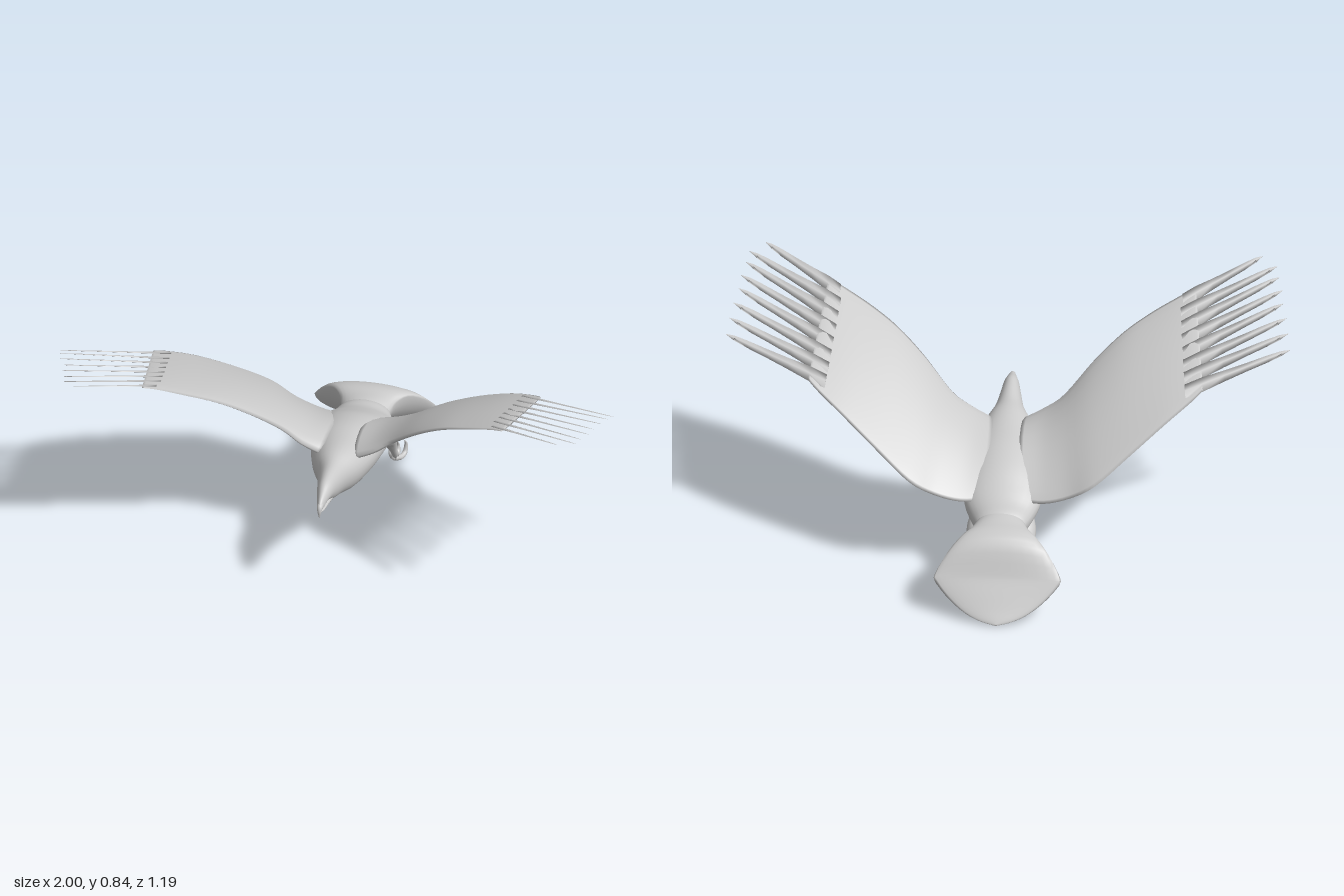
import * as THREE from 'three';

const V = (x, y, z) => new THREE.Vector3(x, y, z);
const material = new THREE.MeshStandardMaterial({ color: 0xcccccc, side: THREE.DoubleSide });

// Skin through a list of equal-sized closed rings, capped at both ends
function loft(rings) {
  const n = rings[0].length, m = rings.length, pos = [], idx = [];
  rings.forEach(r => r.forEach(p => pos.push(p.x, p.y, p.z)));
  for (const r of [rings[0], rings[m - 1]]) {
    const c = r.reduce((s, p) => s.add(p), V(0, 0, 0)).divideScalar(n);
    pos.push(c.x, c.y, c.z);
  }
  for (let i = 0; i < m - 1; i++) for (let j = 0; j < n; j++) {
    const k = (j + 1) % n, a = i * n + j, b = i * n + k, c = a + n, d = b + n;
    idx.push(a, b, c, b, d, c);
  }
  for (let j = 0; j < n; j++) {
    const k = (j + 1) % n, e = (m - 1) * n;
    idx.push(m * n, k, j, m * n + 1, e + j, e + k);
  }
  // turn the faces outward by the sign of the enclosed volume
  const at = i => V(pos[3 * i], pos[3 * i + 1], pos[3 * i + 2]);
  let volume = 0;
  for (let i = 0; i < idx.length; i += 3) volume += at(idx[i]).dot(at(idx[i + 1]).cross(at(idx[i + 2])));
  if (volume < 0) idx.reverse();
  const g = new THREE.BufferGeometry();
  g.setAttribute('position', new THREE.Float32BufferAttribute(pos, 3));
  g.setIndex(idx);
  g.computeVertexNormals();
  return g;
}

// Insert smooth in-between rows in a table of section values
function refine(rows, steps) {
  const out = [], last = rows.length - 1;
  for (let i = 0; i < last; i++) for (let s = 0; s < steps; s++) {
    const t = s / steps;
    out.push(rows[i].map((b, c) => {
      const a = rows[Math.max(i - 1, 0)][c], d = rows[i + 1][c], e = rows[Math.min(i + 2, last)][c];
      return b + 0.5 * t * (d - a + t * (2 * a - 5 * b + 4 * d - e + t * (3 * (b - d) + e - a)));
    }));
  }
  return [...out, rows[last]];
}

// Rows: z, top y, bottom y, half width, y of the widest line
function hull(rows, steps, sides) {
  return loft(refine(rows, steps).map(([z, top, bottom, w, mid]) =>
    Array.from({ length: sides }, (_, j) => {
      const a = j / sides * Math.PI * 2, s = Math.sin(a);
      return V(w * Math.cos(a), mid + s * (s > 0 ? top - mid : mid - bottom), z);
    })));
}

// Round limb with changing radius along a curve
function limb(points, radii, segments = 14, sides = 10) {
  const curve = new THREE.CatmullRomCurve3(points.map(p => V(...p)));
  const f = curve.computeFrenetFrames(segments);
  return loft(Array.from({ length: segments + 1 }, (_, i) => {
    const t = i / segments, q = t * (radii.length - 1), k = Math.min(Math.floor(q), radii.length - 2);
    const r = THREE.MathUtils.lerp(radii[k], radii[k + 1], q - k), c = curve.getPoint(t);
    return Array.from({ length: sides }, (_, j) => {
      const a = j / sides * Math.PI * 2;
      return c.clone().addScaledVector(f.normals[i], r * Math.cos(a)).addScaledVector(f.binormals[i], r * Math.sin(a));
    });
  }));
}

function add(parent, name, geometry) {
  const mesh = new THREE.Mesh(geometry, material);
  mesh.name = name;
  parent.add(mesh);
}

// Rows: leading edge xyz, trailing edge xyz, half thickness
const wingRows = [
  [0.06, 0.39, 0.19, 0.07, 0.28, -0.20, 0.030],
  [0.13, 0.43, 0.20, 0.15, 0.285, -0.22, 0.024],
  [0.20, 0.485, 0.205, 0.24, 0.315, -0.23, 0.019],
  [0.30, 0.585, 0.275, 0.33, 0.37, -0.235, 0.016],
  [0.40, 0.665, 0.34, 0.45, 0.46, -0.17, 0.013],
  [0.50, 0.72, 0.395, 0.57, 0.545, -0.09, 0.010],
  [0.60, 0.765, 0.44, 0.66, 0.60, -0.02, 0.007],
  [0.65, 0.785, 0.468, 0.70, 0.625, 0.02, 0.004],
];

function wingGeometry() {
  const rows = refine(wingRows, 4), half = 10;
  return loft(rows.map((r, i) => {
    const lead = V(r[0], r[1], r[2]), trail = V(r[3], r[4], r[5]);
    const p = rows[Math.max(i - 1, 0)], q = rows[Math.min(i + 1, rows.length - 1)];
    const span = V(q[0] - p[0] + q[3] - p[3], q[1] - p[1] + q[4] - p[4], q[2] - p[2] + q[5] - p[5]);
    const up = trail.clone().sub(lead).cross(span).normalize();
    if (up.y < 0) up.negate();
    return Array.from({ length: half * 2 }, (_, j) => {
      const a = j / half * Math.PI, t = (1 - Math.cos(a)) / 2;
      const camber = 0.025 * Math.sin(Math.PI * t) * (1 - i / (rows.length - 1));
      return lead.clone().lerp(trail, t).addScaledVector(up, camber + r[6] * Math.sin(a) * (1.3 - 0.6 * t));
    });
  }));
}

// Flight feather tips, from the leading edge back
const tips = [[0.88, 0.845, 0.59], [0.935, 0.83, 0.55], [0.945, 0.815, 0.5], [0.96, 0.797, 0.44],
  [0.965, 0.778, 0.38], [0.98, 0.757, 0.315], [0.99, 0.733, 0.25], [1.0, 0.702, 0.19]];

function featherGeometry(i) {
  const r = wingRows[wingRows.length - 1];
  const lead = V(r[0], r[1], r[2]), trail = V(r[3], r[4], r[5]);
  const root = lead.clone().lerp(trail, (i + 0.5) / tips.length), tip = V(...tips[i]);
  const across = trail.clone().sub(lead).divideScalar(tips.length * 2);
  const along = tip.clone().sub(root), up = across.clone().cross(along).normalize();
  return loft([[-0.2, 0.9], [0, 0.95], [0.25, 0.72], [0.5, 0.56], [0.75, 0.46], [0.9, 0.32], [1, 0.03]].map(([t, w]) => {
    const c = root.clone().addScaledVector(along, t);
    // slight twist so neighbouring blades step like louvres
    const side = across.clone().multiplyScalar(w).addScaledVector(up, 0.006 * w), h = 0.004 * w;
    return [c.clone().add(side), c.clone().addScaledVector(up, h), c.clone().sub(side), c.clone().addScaledVector(up, -h)];
  }));
}

function mirrored(geometry, side) {
  if (side > 0) return geometry;
  const g = geometry.clone().scale(-1, 1, 1);
  g.setIndex(Array.from(g.index.array).reverse());
  g.computeVertexNormals();
  return g;
}

export function createModel() {
  const model = new THREE.Group();
  model.name = 'bird';

  // Head, trunk and rump in one skin
  add(model, 'body', hull([
    [0.508, 0.385, 0.366, 0.006, 0.375], [0.49, 0.403, 0.367, 0.012, 0.38], [0.45, 0.418, 0.367, 0.02, 0.388],
    [0.41, 0.43, 0.35, 0.029, 0.388], [0.36, 0.43, 0.317, 0.038, 0.375], [0.28, 0.424, 0.28, 0.055, 0.355],
    [0.2, 0.425, 0.245, 0.088, 0.34], [0.1, 0.413, 0.228, 0.115, 0.325], [0, 0.4, 0.216, 0.13, 0.31],
    [-0.1, 0.37, 0.202, 0.138, 0.285], [-0.18, 0.33, 0.183, 0.135, 0.26], [-0.24, 0.302, 0.16, 0.112, 0.24],
    [-0.3, 0.286, 0.158, 0.088, 0.235], [-0.36, 0.24, 0.17, 0.05, 0.215],
  ], 4, 28));

  // Fanned tail: broad shallow top, bowed underside, rounded end
  add(model, 'tail', hull([
    [-0.25, 0.285, 0.19, 0.07, 0.24], [-0.3, 0.287, 0.172, 0.088, 0.24], [-0.35, 0.282, 0.145, 0.102, 0.25],
    [-0.4, 0.277, 0.117, 0.135, 0.247], [-0.45, 0.252, 0.09, 0.182, 0.205], [-0.495, 0.168, 0.062, 0.223, 0.145],
    [-0.51, 0.14, 0.053, 0.216, 0.126], [-0.54, 0.096, 0.035, 0.17, 0.078], [-0.57, 0.052, 0.018, 0.112, 0.038],
    [-0.59, 0.024, 0.008, 0.055, 0.016], [-0.6, 0.009, 0.004, 0.004, 0.006],
  ], 3, 28));

  // Hooked upper beak and slim lower beak
  add(model, 'beakHook', limb([[0, 0.388, 0.475], [0, 0.382, 0.5], [0, 0.366, 0.509], [0, 0.344, 0.511]], [0.013, 0.011, 0.007, 0.001]));
  add(model, 'lowerBeak', hull([
    [0.38, 0.36, 0.33, 0.025, 0.345], [0.43, 0.358, 0.34, 0.017, 0.35],
    [0.47, 0.358, 0.346, 0.011, 0.353], [0.492, 0.358, 0.353, 0.003, 0.355]], 3, 14));

  const wing = wingGeometry(), feathers = tips.map((_, i) => featherGeometry(i));
  const leg = limb([[0.06, 0.23, -0.17], [0.082, 0.185, -0.235], [0.092, 0.135, -0.28], [0.097, 0.08, -0.31], [0.1, 0.025, -0.345]],
    [0.045, 0.042, 0.027, 0.014, 0.012], 18, 14);
  // Three forward toes curl under, one hind toe curls over
  const toes = [-1, 0, 1].map(k => limb([[0.1, 0.022, -0.335], [0.1 + k * 0.017, 0.011, -0.36], [0.1 + k * 0.026, 0.018, -0.383],
    [0.1 + k * 0.028, 0.04 + 0.01 * k, -0.39], [0.1 + k * 0.025, 0.062 + 0.01 * k, -0.377]], [0.011, 0.01, 0.009, 0.006, 0.001]));
  toes.push(limb([[0.1, 0.035, -0.34], [0.1, 0.062, -0.326], [0.1, 0.093, -0.328], [0.1, 0.11, -0.35], [0.1, 0.102, -0.377]],
    [0.01, 0.009, 0.008, 0.006, 0.001]));

  for (const side of [1, -1]) {
    const label = side > 0 ? 'left' : 'right';
    const wingGroup = new THREE.Group(), legGroup = new THREE.Group();
    wingGroup.name = label + 'Wing';
    legGroup.name = label + 'Leg';
    add(wingGroup, 'wingBlade', mirrored(wing, side));
    feathers.forEach((f, i) => add(wingGroup, 'flightFeather' + (i + 1), mirrored(f, side)));
    add(legGroup, 'shank', mirrored(leg, side));
    toes.forEach((t, i) => add(legGroup, i < 3 ? 'toe' + (i + 1) : 'hindToe', mirrored(t, side)));
    model.add(wingGroup, legGroup);
  }
  return model;
}
